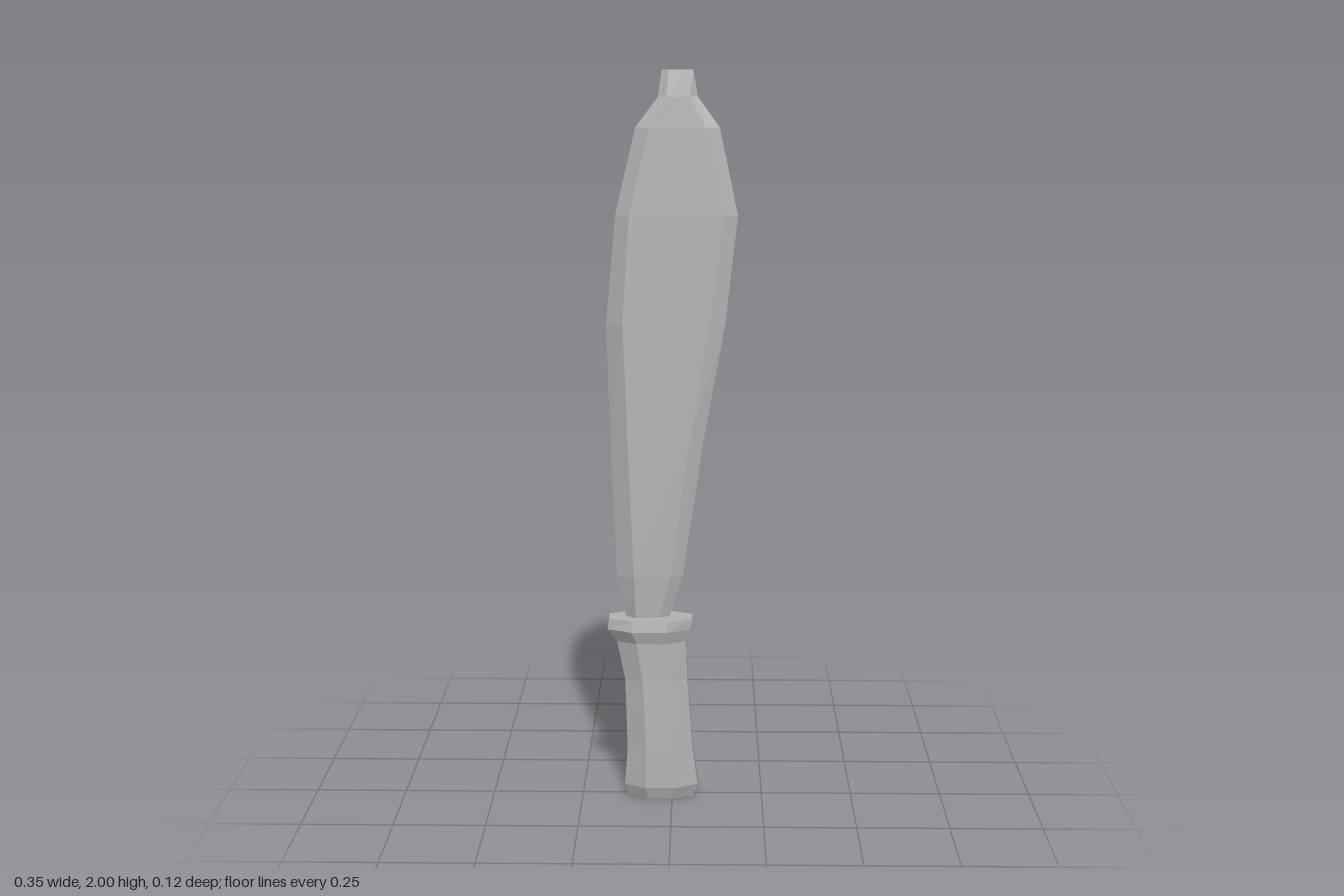
import * as THREE from 'three';

// Skin a stack of rings; each ring runs counter-clockwise seen from above
function loft(rings) {
  const pos = [];
  const tri = (a, b, c) => pos.push(...a, ...b, ...c);
  const n = rings[0].length;
  for (let r = 0; r < rings.length - 1; r++) {
    const lo = rings[r], hi = rings[r + 1];
    for (let i = 0; i < n; i++) {
      const j = (i + 1) % n;
      tri(lo[i], lo[j], hi[j]);
      tri(lo[i], hi[j], hi[i]);
    }
  }
  const bottom = rings[0], top = rings[rings.length - 1];
  for (let i = 1; i < n - 1; i++) {
    tri(top[0], top[i], top[i + 1]);
    tri(bottom[0], bottom[i + 1], bottom[i]);
  }
  const geo = new THREE.BufferGeometry();
  geo.setAttribute('position', new THREE.Float32BufferAttribute(pos, 3));
  geo.computeVertexNormals();
  return geo;
}

// Elongated octagon for the grip
function gripRing([y, x0, x1, z]) {
  const w = x1 - x0, a = x0 + w * 0.29, b = x1 - w * 0.29, s = z * 0.45;
  return [[x1, y, s], [x1, y, -s], [b, y, -z], [a, y, -z],
    [x0, y, -s], [x0, y, s], [a, y, z], [b, y, z]];
}

// Blade section: spine point, thick ridge, thin bevel line, cutting edge
function bladeRing([y, spine, ridge, bevel, edge, zr, zb]) {
  return [[edge, y, 0], [bevel, y, -zb], [ridge, y, -zr],
    [spine, y, 0], [ridge, y, zr], [bevel, y, zb]];
}

export function createModel() {
  const group = new THREE.Group();
  const steel = new THREE.MeshStandardMaterial({ color: 0xb4b4b4, flatShading: true });
  steel.name = 'grey';

  const add = (name, rings) => {
    const mesh = new THREE.Mesh(loft(rings), steel);
    mesh.name = name;
    group.add(mesh);
  };

  // Handle: y, left x, right x, half depth
  add('handle', [
    [0, -0.12, 0.06, 0.048],
    [0.035, -0.132, 0.071, 0.058],
    [0.14, -0.124, 0.057, 0.058],
    [0.34, -0.13, 0.042, 0.052],
    [0.45, -0.152, 0.038, 0.052],
    [0.485, -0.178, 0.05, 0.061],
    [0.515, -0.174, 0.055, 0.056],
  ].map(gripRing));

  // Blade: y, spine x, ridge x, bevel x, edge x, ridge depth, bevel depth
  add('blade', [
    [0.5, -0.125, -0.1, -0.04, -0.012, 0.02, 0.014],
    [0.63, -0.152, -0.105, -0.005, 0.029, 0.027, 0.017],
    [1.0, -0.168, -0.12, 0.045, 0.083, 0.03, 0.016],
    [1.33, -0.178, -0.133, 0.1, 0.142, 0.03, 0.014],
    [1.62, -0.152, -0.115, 0.138, 0.174, 0.025, 0.012],
    [1.85, -0.098, -0.062, 0.088, 0.125, 0.018, 0.012],
    [1.93, -0.038, -0.015, 0.045, 0.067, 0.012, 0.009],
    [2.0, -0.028, -0.01, 0.035, 0.055, 0.001, 0.001],
  ].map(bladeRing));

  return group;
}
